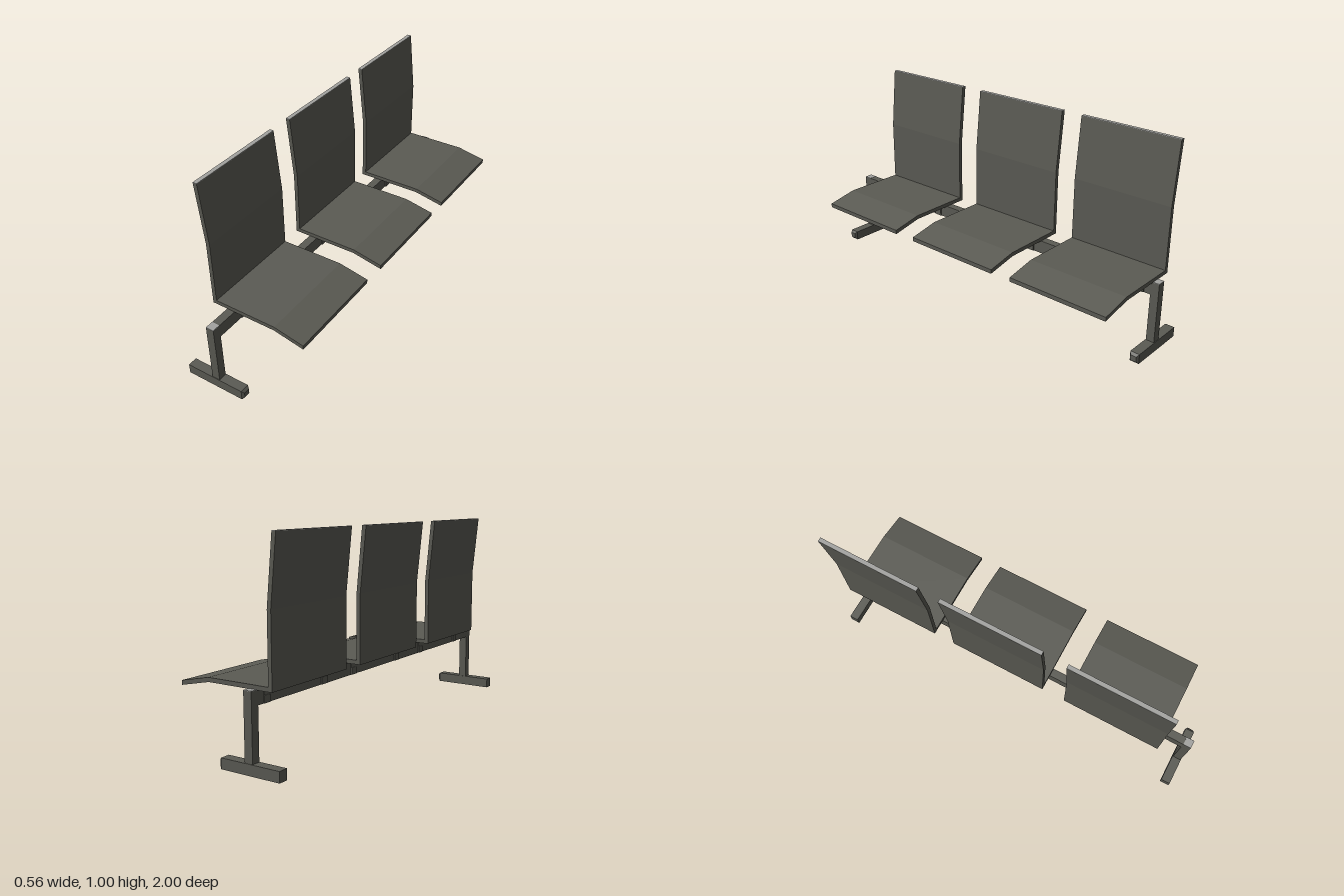
import * as THREE from 'three';

export function createModel() {
  const model = new THREE.Group();
  const frame = new THREE.MeshStandardMaterial({ color: 0x5b5b54 });
  frame.name = 'dark olive grey';
  const edge = new THREE.MeshStandardMaterial({ color: 0xa3a3a0 });
  edge.name = 'light grey edge';

  function add(parent, name, geometry, material, x = 0, y = 0, z = 0) {
    const mesh = new THREE.Mesh(geometry, material);
    mesh.name = name;
    mesh.position.set(x, y, z);
    parent.add(mesh);
    return mesh;
  }

  const beamX = -0.119;

  // One-piece bent seat and backrest, extruded along the row
  const seatWidth = 0.526;
  const profile = new THREE.Shape([
    [-0.222, 0.355], [0.122, 0.355], [0.28, 0.322], [0.28, 0.343], [0.125, 0.375],
    [-0.202, 0.375], [-0.202, 0.69], [-0.232, 0.997], [-0.253, 0.997], [-0.222, 0.69],
  ].map(([x, y]) => new THREE.Vector2(x, y)));
  const shell = new THREE.ExtrudeGeometry(profile, { depth: seatWidth, bevelEnabled: false });
  shell.translate(0, 0, -seatWidth / 2);
  const topEdge = new THREE.BoxGeometry(0.021, 0.003, seatWidth);

  // Tapered clamp cheek, slightly wider at the bottom
  const cheek = new THREE.Shape([
    [0.018, 0.357], [0.023, 0.357], [0.024, 0.325], [0.027, 0.325], [0.027, 0.291], [0.018, 0.291],
  ].map(([x, y]) => new THREE.Vector2(x, y)));
  const clampSide = new THREE.ExtrudeGeometry(cheek, { depth: 0.04, bevelEnabled: false });
  clampSide.translate(0, 0, -0.02);

  [0.587, -0.063, -0.702].forEach((z, i) => {
    const seat = new THREE.Group();
    seat.name = 'seat' + (i + 1);
    seat.position.z = z;
    add(seat, 'seatShell', shell, frame);
    add(seat, 'backrestTopEdge', topEdge, edge, -0.2425, 0.9985, 0);
    // Two clamps hold each seat to the beam
    for (const dz of [-0.2, 0.2]) {
      add(seat, 'clampFront', clampSide, frame, beamX, 0, dz);
      add(seat, 'clampBack', clampSide, frame, beamX, 0, dz).rotation.y = Math.PI;
    }
    model.add(seat);
  });

  // Long carrying beam
  add(model, 'beam', new THREE.BoxGeometry(0.042, 0.066, 1.91), frame, beamX, 0.323, 0);

  // Foot bar with a bevelled front end
  const box = new THREE.BoxGeometry(0.324, 0.05, 0.048, 2, 1, 1);
  const p = box.attributes.position;
  for (let i = 0; i < p.count; i++) {
    if (Math.abs(p.getX(i)) < 0.01) p.setX(i, 0.15);
    else if (p.getX(i) > 0) {
      p.setY(i, p.getY(i) * 0.55);
      p.setZ(i, p.getZ(i) * 0.65);
    }
  }
  const foot = box.toNonIndexed();
  foot.computeVertexNormals();

  // Legs at both ends, each with a light cap on the post
  for (const side of [1, -1]) {
    const leg = new THREE.Group();
    leg.name = side > 0 ? 'frontLeg' : 'backLeg';
    add(leg, 'foot', foot, frame, -0.12, 0.025, side * 0.976);
    add(leg, 'post', new THREE.BoxGeometry(0.042, 0.304, 0.042), frame, beamX, 0.202, side * 0.976);
    add(leg, 'postCap', new THREE.BoxGeometry(0.042, 0.003, 0.042), edge, beamX, 0.3555, side * 0.976);
    model.add(leg);
  }
  return model;
}
